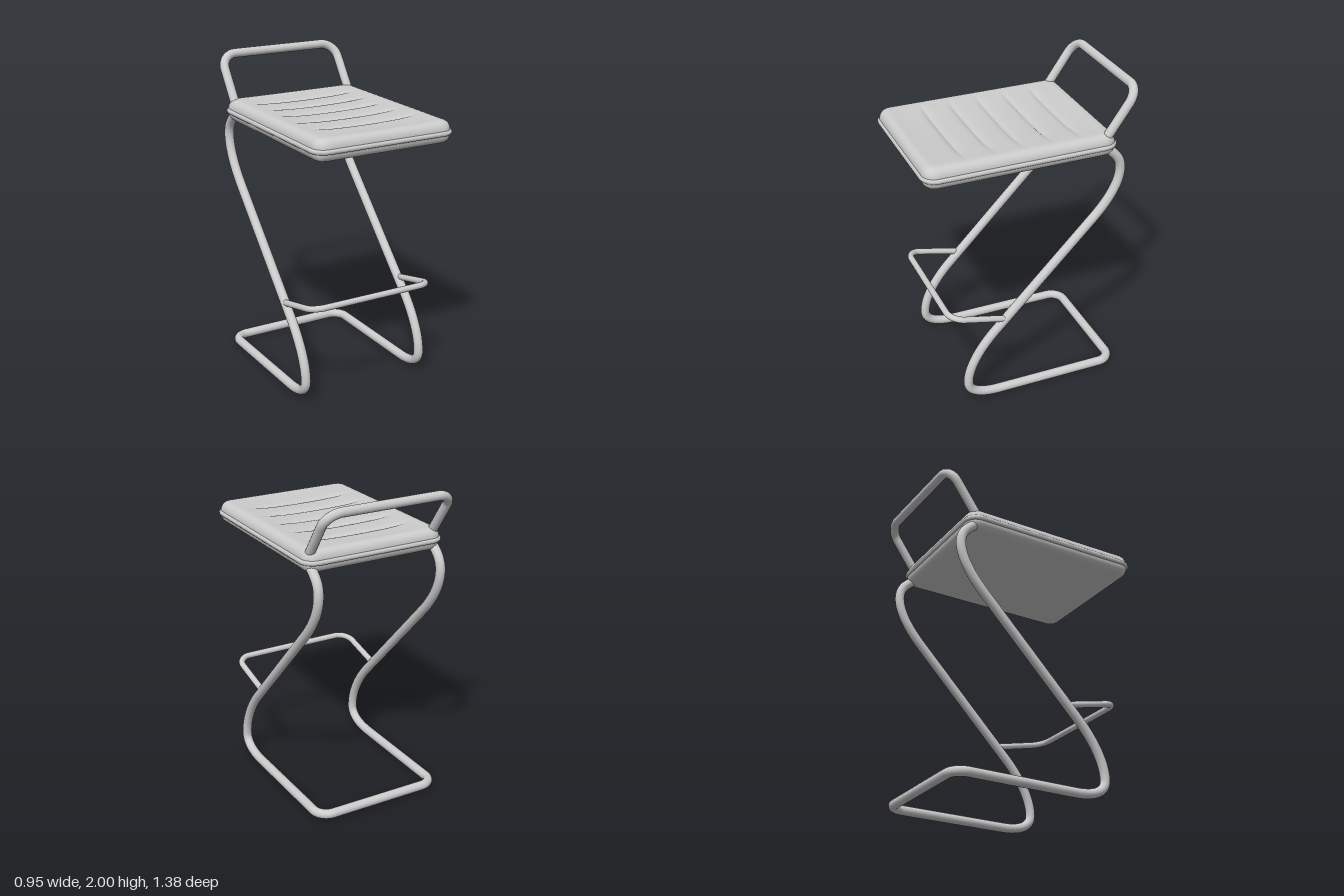
import * as THREE from 'three';

const X = 0.415; // half spacing of the tubular frame
const V = (x, y, z) => new THREE.Vector3(x, y, z);

// 2, 3 or 4 control points become a line or a Bezier curve
function curveOf(p) {
  if (p.length === 2) return new THREE.LineCurve3(...p);
  if (p.length === 3) return new THREE.QuadraticBezierCurve3(...p);
  return new THREE.CubicBezierCurve3(...p);
}

// Segments for the left half, mirrored to the right and joined by a cross bar
function mirroredPath(half) {
  const flip = p => V(-p.x, p.y, p.z);
  const other = half.map(s => s.map(flip).reverse()).reverse();
  const end = half.at(-1).at(-1);
  const path = new THREE.CurvePath();
  for (const s of [...half, [end, flip(end)], ...other]) path.add(curveOf(s));
  return path;
}

// Straight arm ending in a rounded corner of radius r that turns inward
function armWithCorner(start, corner, r) {
  const k = 0.45;
  const back = start.clone().sub(corner).normalize();
  const a = corner.clone().addScaledVector(back, r);
  const a2 = corner.clone().addScaledVector(back, r * k);
  const b = corner.clone().add(V(-r, 0, 0));
  const b2 = corner.clone().add(V(-r * k, 0, 0));
  return [[start, a], [a, a2, b2, b]];
}

// Half of the cushion: a sheet with a rounded-rectangle outline and a rolled edge
function cushionSheet({ hw, hd, corner, roll, height, nx, nz, relief }) {
  const g = new THREE.PlaneGeometry(2, 2, nx, nz);
  g.rotateX(height > 0 ? -Math.PI / 2 : Math.PI / 2);
  const p = g.attributes.position;
  for (let i = 0; i < p.count; i++) {
    // pack the grid more densely towards the edges
    let x = hw * Math.sin(p.getX(i) * Math.PI / 2);
    let z = hd * Math.sin(p.getZ(i) * Math.PI / 2);
    const qx = Math.abs(x) - (hw - corner), qz = Math.abs(z) - (hd - corner);
    let e = corner - Math.max(qx, qz);
    if (qx > 0 && qz > 0) {
      const s = Math.max(qx, qz) / Math.hypot(qx, qz);
      x = Math.sign(x) * (hw - corner + qx * s);
      z = Math.sign(z) * (hd - corner + qz * s);
    }
    e = Math.max(e, 0);
    const t = 1 - Math.min(e / roll, 1);
    const y = height * Math.pow(Math.max(0, 1 - Math.pow(t, 2.5)), 1 / 2.5);
    p.setXYZ(i, x, y + (relief ? relief(x, z) : 0), z);
  }
  g.computeVertexNormals();
  return g;
}

export function createModel() {
  const model = new THREE.Group();
  model.name = 'barStool';
  const grey = new THREE.MeshStandardMaterial({ color: 0xcccccc });
  grey.name = 'light grey';

  const add = (name, geometry, parent = model) => {
    const m = new THREE.Mesh(geometry, grey);
    m.name = name;
    parent.add(m);
    return m;
  };
  const tube = (name, path, radius, segments, closed = false) =>
    add(name, new THREE.TubeGeometry(path, segments, radius, 16, closed));

  // Cantilever frame: S-shaped legs running into the floor loop
  const L = (y, z) => V(X, y, z);
  const by = 0.032;
  const legs = [
    [L(1.62, -0.47), L(1.58, -0.53), L(1.54, -0.57), L(1.47, -0.57)],
    [L(1.47, -0.57), L(1.38, -0.57), L(1.273, -0.51), L(1.16, -0.40)],
    [L(1.16, -0.40), L(0.49, 0.25)],
    [L(0.49, 0.25), L(0.395, 0.34), L(0.26, 0.43), L(0.14, 0.43)],
    [L(0.14, 0.43), L(0.065, 0.43), L(by, 0.34), L(by, 0.22)],
    ...armWithCorner(L(by, 0.22), L(by, -0.583), 0.09),
  ];
  tube('frame', mirroredPath(legs), 0.03, 420);

  // Low backrest hoop
  tube('backrest', mirroredPath(armWithCorner(L(1.685, -0.462), L(1.971, -0.661), 0.1)), 0.029, 140);

  // Thinner foot rest projecting forward from the legs
  tube('footRest', mirroredPath(armWithCorner(V(0.42, 0.572, 0.18), V(0.42, 0.655, 0.535), 0.09)), 0.02, 140);

  // Seat: quilted top, plain underside and piping around the seam
  const seat = new THREE.Group();
  seat.name = 'seat';
  seat.position.set(0, 1.65, 0.0725);
  model.add(seat);

  const grooves = [-0.31, -0.13, 0.05, 0.23, 0.41].map(z => z - 0.0725);
  const relief = (x, z) => {
    const u = Math.min(Math.abs(x) / 0.43, 1), v = Math.min(Math.abs(z) / 0.57, 1);
    const dish = 0.016 * (1 - u * u) * (1 - v ** 6);
    let cut = 0;
    for (const gz of grooves) cut += Math.exp(-Math.abs(z - gz) / 0.016);
    const fade = 1 - THREE.MathUtils.smoothstep(Math.abs(x), 0.2, 0.42);
    return -dish - 0.017 * cut * fade;
  };
  const outline = { hw: 0.464, hd: 0.601, corner: 0.08 };
  add('cushionTop', cushionSheet({ ...outline, roll: 0.07, height: 0.073, nx: 40, nz: 220, relief }), seat);
  add('cushionUnderside', cushionSheet({ ...outline, roll: 0.06, height: -0.065, nx: 32, nz: 32 }), seat);

  // Piping follows the cushion outline
  const px = 0.461, pz = 0.598, r = 0.08;
  const loop = [];
  for (const [sx, sz, a0] of [[1, 1, 0], [-1, 1, 1], [-1, -1, 2], [1, -1, 3]]) {
    for (let i = 0; i <= 8; i++) {
      const a = (a0 + i / 8) * Math.PI / 2;
      loop.push(V(sx * (px - r) + r * Math.cos(a), 0, sz * (pz - r) + r * Math.sin(a)));
    }
  }
  const ring = new THREE.CurvePath();
  loop.forEach((p, i) => ring.add(new THREE.LineCurve3(p, loop[(i + 1) % loop.length])));
  add('piping', new THREE.TubeGeometry(ring, 260, 0.016, 10, true), seat);

  return model;
}
